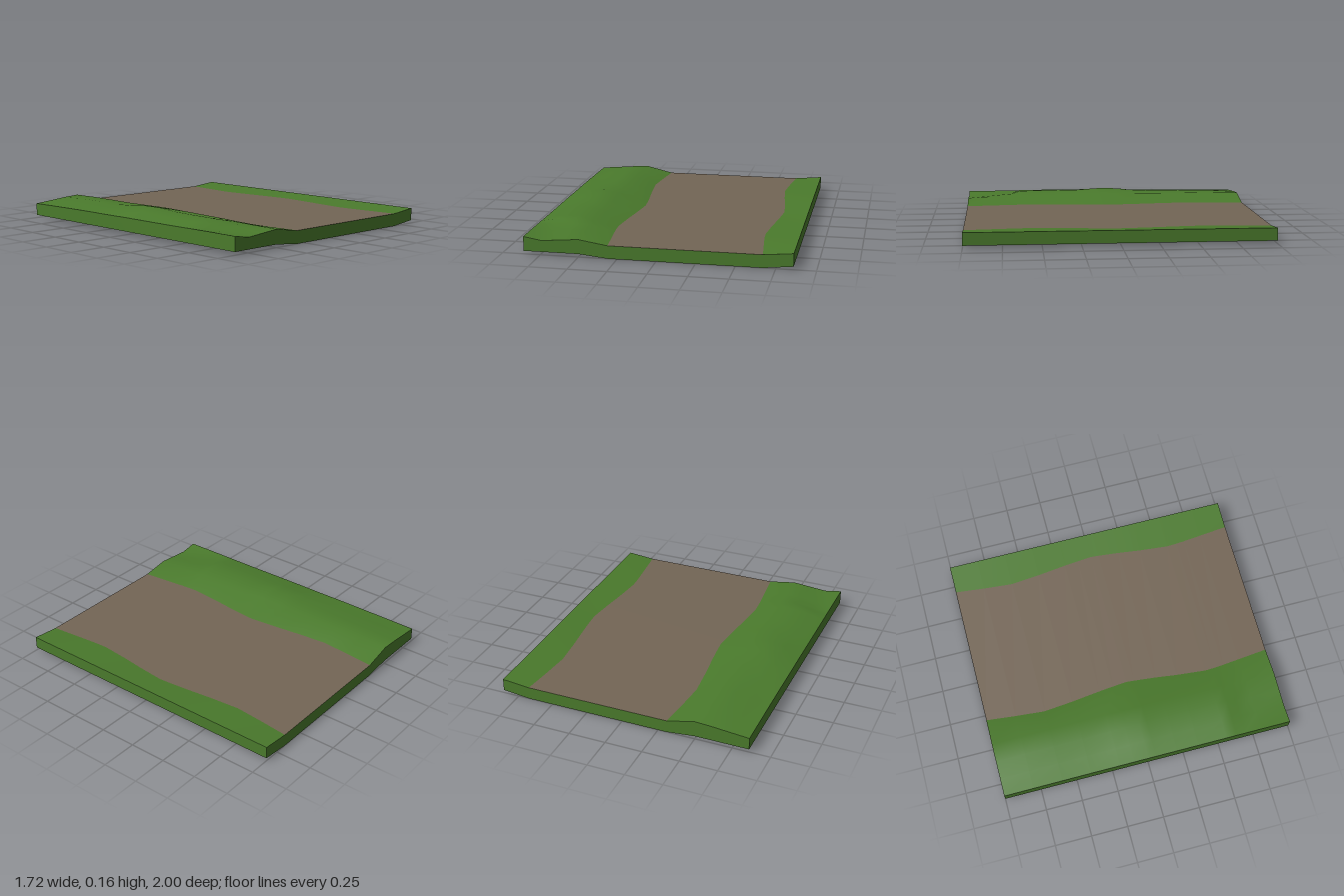
import * as THREE from 'three';

// Cross-sections from front to back: z, near edge of path, bank heights at the four bank columns
const bankX = [-0.86, -0.74, -0.62, -0.5];
const sections = [
  [1, -0.31, 0.115, 0.095, 0.105, 0.115],
  [0.8, -0.33, 0.115, 0.105, 0.115, 0.118],
  [0.68, -0.342, 0.114, 0.115, 0.125, 0.12],
  [0.62, -0.347, 0.114, 0.135, 0.145, 0.125],
  [0.55, -0.35, 0.113, 0.136, 0.146, 0.128],
  [0.35, -0.33, 0.112, 0.135, 0.147, 0.132],
  [0.2, -0.31, 0.112, 0.135, 0.149, 0.135],
  [0.05, -0.294, 0.112, 0.138, 0.159, 0.138],
  [0, -0.29, 0.112, 0.138, 0.159, 0.138],
  [-0.1, -0.298, 0.111, 0.136, 0.157, 0.138],
  [-0.2, -0.308, 0.11, 0.13, 0.145, 0.136],
  [-0.4, -0.332, 0.11, 0.122, 0.135, 0.133],
  [-0.6, -0.35, 0.108, 0.12, 0.136, 0.134],
  [-0.8, -0.332, 0.105, 0.117, 0.134, 0.134],
  [-1, -0.31, 0.102, 0.112, 0.123, 0.13],
];
const PATH_WIDTH = 0.98, PATH_Y = 0.085, RIGHT_X = 0.86, RIGHT_Y = 0.103;
const bottomY = [0.02, 0.02, 0.02, 0.02, 0, 0, 0.02];

// Skin a grid of points; faces point along (column direction x row direction)
function patch(name, rows, material) {
  const n = rows[0].length, index = [];
  for (let r = 0; r < rows.length - 1; r++) {
    for (let c = 0; c < n - 1; c++) {
      const a = r * n + c, d = a + n;
      index.push(a, a + 1, d, a + 1, d + 1, d);
    }
  }
  const geometry = new THREE.BufferGeometry();
  geometry.setAttribute('position', new THREE.Float32BufferAttribute(rows.flat(2), 3));
  geometry.setIndex(index);
  geometry.computeVertexNormals();
  const mesh = new THREE.Mesh(geometry, material);
  mesh.name = name;
  return mesh;
}

export function createModel() {
  const grass = new THREE.MeshStandardMaterial({ color: 0x4a7a2c });
  grass.name = 'grass green';
  const dirt = new THREE.MeshStandardMaterial({ color: 0x736555 });
  dirt.name = 'dirt brown';

  // Upper and lower surface points of every section, left to right
  const top = sections.map(([z, edge, ...heights]) => [
    ...bankX.map((x, i) => [x, heights[i], z]),
    [edge, PATH_Y, z],
    [edge + PATH_WIDTH, PATH_Y, z],
    [RIGHT_X, RIGHT_Y, z],
  ]);
  const bottom = top.map((row) => row.map(([x, , z], i) => [x, bottomY[i], z]));

  const columns = (rows, from, to) => rows.map((row) => row.slice(from, to));
  const side = (rows, i) => rows.map((row) => row[i]);
  const last = top.length - 1;

  const group = new THREE.Group();
  group.name = 'pathTile';
  group.add(
    // Ground surfaces
    patch('raisedBank', columns(top, 0, 5), grass),
    patch('dirtPath', columns(top, 4, 6), dirt),
    patch('lowVerge', columns(top, 5, 7), grass),
    // Slab walls and underside
    patch('frontWall', [bottom[0], top[0]], grass),
    patch('backWall', [[...bottom[last]].reverse(), [...top[last]].reverse()], grass),
    patch('bankWall', [side(bottom, 0).reverse(), side(top, 0).reverse()], grass),
    patch('vergeWall', [side(bottom, 6), side(top, 6)], grass),
    patch('underside', [...bottom].reverse(), grass),
  );
  return group;
}
